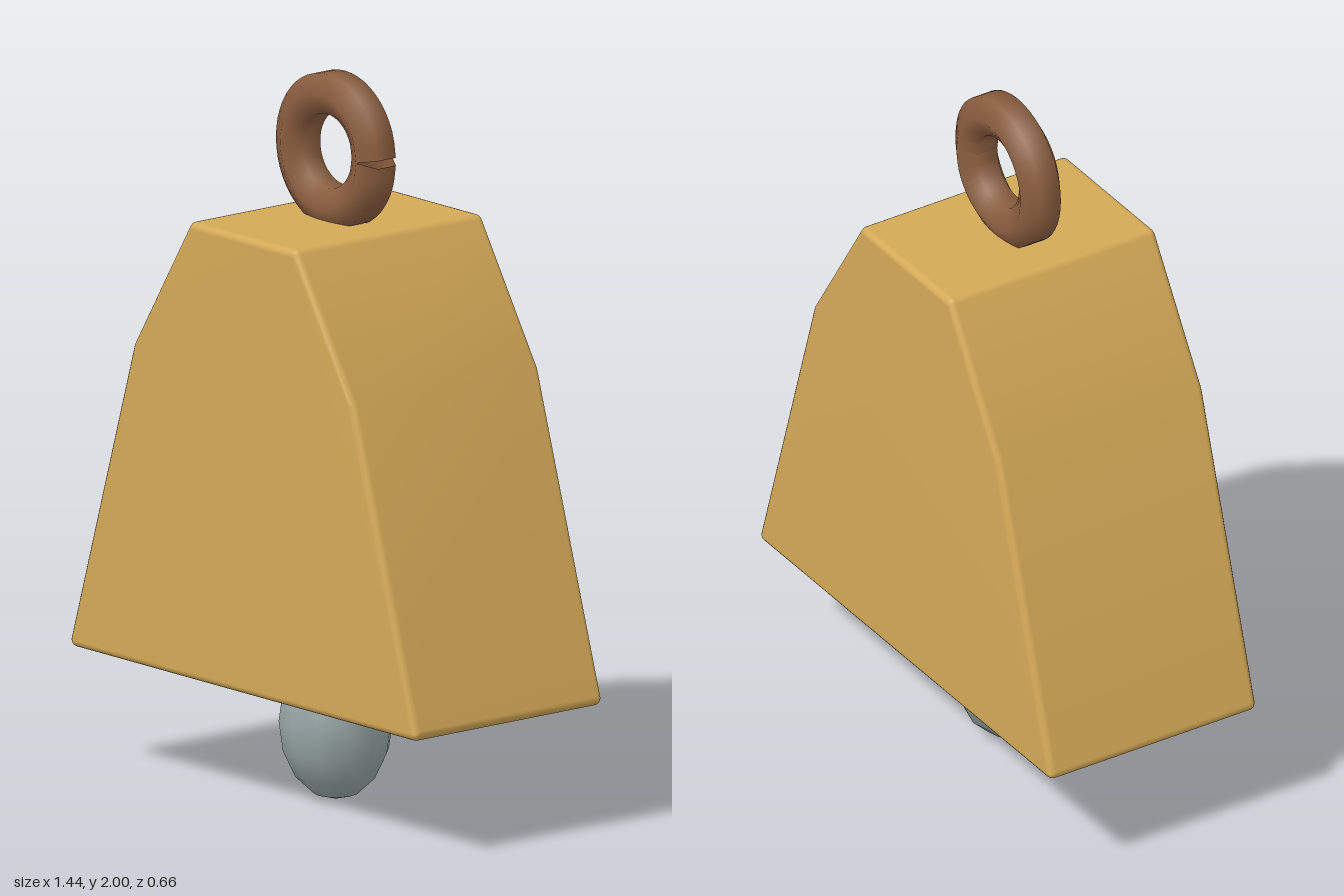
import * as THREE from 'three';
import { mergeVertices } from 'three/addons/utils/BufferGeometryUtils.js';
import { ConvexGeometry } from 'three/addons/geometries/ConvexGeometry.js';

const material = (name, color) => {
  const m = new THREE.MeshStandardMaterial({ color });
  m.name = name;
  return m;
};

// Convex solid with softly rounded edges: hull of a small ball at every corner
function roundedHull(corners, radius) {
  const ball = mergeVertices(new THREE.SphereGeometry(radius, 16, 8).deleteAttribute('uv').deleteAttribute('normal'));
  const pos = ball.getAttribute('position');
  const points = [];
  for (const corner of corners) {
    for (let i = 0; i < pos.count; i++) {
      points.push(new THREE.Vector3().fromBufferAttribute(pos, i).add(corner));
    }
  }
  const hull = mergeVertices(new ConvexGeometry(points).deleteAttribute('normal'));
  hull.computeVertexNormals();
  return hull;
}

export function createModel() {
  const brass = material('brass', 0xd4a957);
  const leather = material('brown ring', 0x8b5e3f);
  const iron = material('grey iron', 0x98a6a7);

  const model = new THREE.Group();
  model.name = 'bell';
  const add = (name, geometry, mat) => {
    const mesh = new THREE.Mesh(geometry, mat);
    mesh.name = name;
    model.add(mesh);
    return mesh;
  };

  // Bell body: flared profile with a shoulder, mirrored left/right and front/back
  const edge = 0.02;
  const profile = [[0.698, 0.36], [0.437, 1.212], [0.207, 1.58]];
  const corners = [];
  for (const [x, y] of profile) {
    for (const sx of [-1, 1]) {
      for (const sz of [-1, 1]) corners.push(new THREE.Vector3(sx * x, y, sz * (0.33 - edge)));
    }
  }
  add('bellBody', roundedHull(corners, edge), brass);

  // Hanging ring: six-sided open loop whose ends leave a small notch on the +x side
  const loop = [];
  for (let i = 0; i <= 16; i++) {
    const a = (i / 16) * Math.PI * 2;
    loop.push(new THREE.Vector3(Math.cos(a) * 0.157, Math.sin(a) * 0.157, 0));
  }
  const ring = add('hangingRing', new THREE.TubeGeometry(new THREE.CatmullRomCurve3(loop), 48, 0.063, 6, false), leather);
  ring.position.y = 1.789;
  leather.side = THREE.DoubleSide;

  // Clapper: egg-shaped weight hanging below the mouth
  const clapper = add('clapper', new THREE.SphereGeometry(1, 12, 8).scale(0.156, 0.22, 0.156), iron);
  clapper.position.y = 0.222;

  return model;
}
